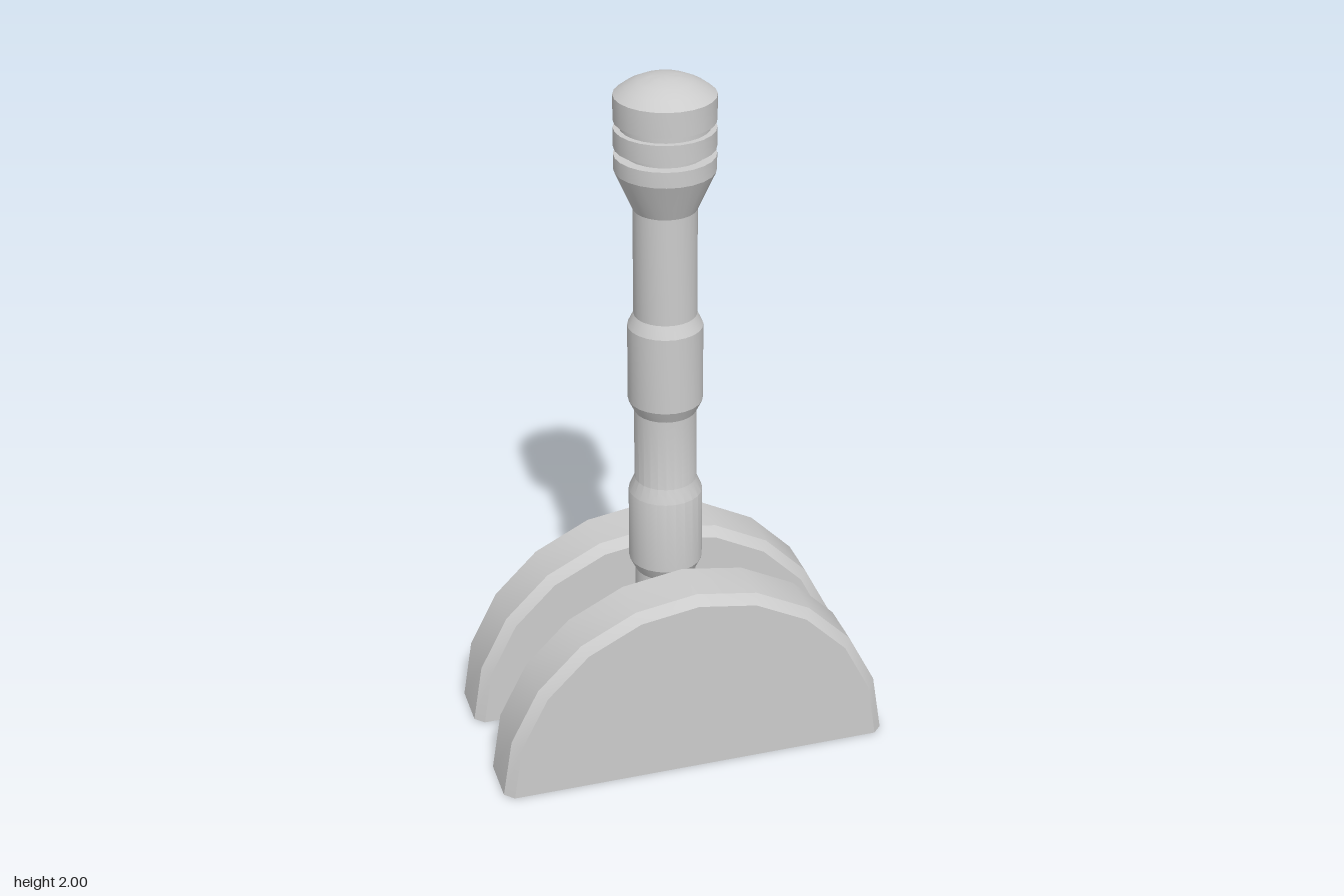
import * as THREE from 'three';
import { mergeGeometries, toCreasedNormals } from 'three/addons/utils/BufferGeometryUtils.js';

const material = new THREE.MeshStandardMaterial({ color: 0xcccccc });
const CREASE = 0.4;
const toPoints = (pairs) => pairs.map(([x, y]) => new THREE.Vector2(x, y));

function addMesh(group, name, geometry) {
  const mesh = new THREE.Mesh(toCreasedNormals(geometry, CREASE), material);
  mesh.name = name;
  group.add(mesh);
  return mesh;
}

// Half disc with chamfered rims, standing on its flat side
function halfDisc(radius, thickness, bevel) {
  const h = thickness / 2;
  const r = radius - bevel;
  const rim = [[r, -h], [radius, -h + bevel], [radius, h - bevel], [r, h]];
  const arc = new THREE.LatheGeometry(
    toPoints([[0, -h], ...rim, [0, h]]), 10, -Math.PI / 2, Math.PI);
  const mirrored = rim.map(([x, y]) => [-x, y]).reverse();
  const base = new THREE.ShapeGeometry(new THREE.Shape(toPoints([...rim, ...mirrored])));
  base.rotateY(Math.PI);
  return mergeGeometries([arc, base]).rotateX(-Math.PI / 2);
}

export function createModel() {
  const model = new THREE.Group();
  model.name = 'lever';

  // Pair of base plates with a slot between them
  for (const [name, z] of [['frontBasePlate', 0.188], ['backBasePlate', -0.191]]) {
    addMesh(model, name, halfDisc(0.568, 0.189, 0.026)).position.z = z;
  }

  const stick = new THREE.Group();
  stick.name = 'stick';
  stick.position.set(-0.013, 0, -0.002);
  model.add(stick);

  // Shaft with two raised collars
  const thin = 0.087, thick = 0.104;
  addMesh(stick, 'shaft', new THREE.LatheGeometry(toPoints([
    [0, 0], [thin, 0], [thin, 0.515], [thick, 0.55], [thick, 0.77], [thin, 0.81],
    [thin, 1.025], [thick, 1.06], [thick, 1.285], [thin, 1.32], [thin, 1.63],
  ]), 24));

  // Flared knob with two grooves and a domed top
  const knob = 0.137;
  addMesh(stick, 'knob', new THREE.LatheGeometry(toPoints([
    [thin, 1.63], [knob, 1.742], [knob, 1.786], [0.108, 1.786], [0.108, 1.806],
    [knob, 1.806], [knob, 1.86], [0.121, 1.86], [0.121, 1.88], [knob, 1.88],
    [knob, 1.95], [0.108, 1.972], [0.075, 1.988], [0.038, 1.998], [0, 2],
  ]), 24));

  return model;
}
